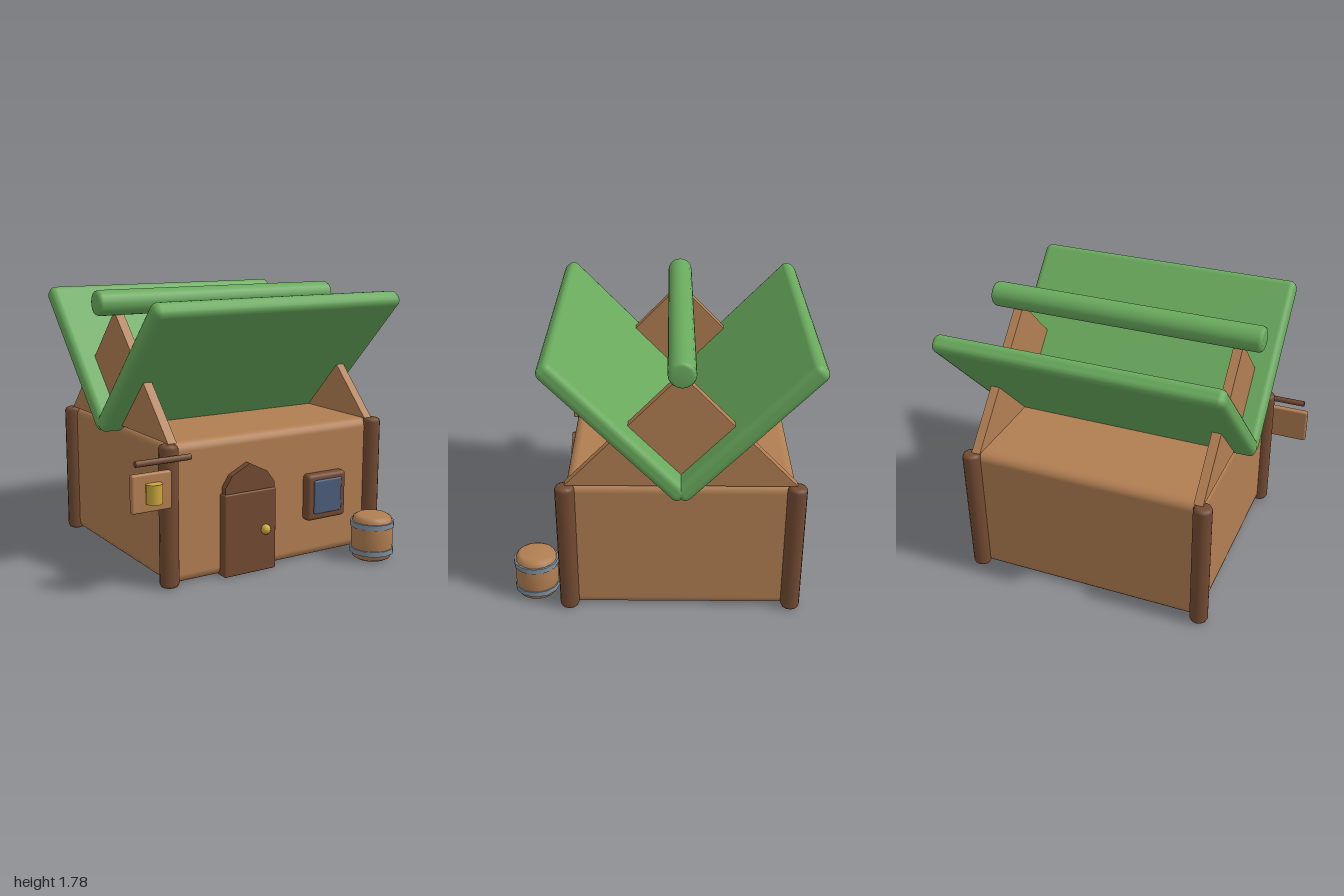
import * as THREE from 'three';
import { RoundedBoxGeometry } from 'three/addons/geometries/RoundedBoxGeometry.js';

const mat = (name, color) => {
  const m = new THREE.MeshStandardMaterial({ color });
  m.name = name;
  return m;
};

export function createModel() {
  const root = new THREE.Group();
  root.name = 'cottage';
  const wood = mat('light wood', 0xb17e52);
  const darkWood = mat('dark wood', 0x724a32);
  const green = mat('roof green', 0x69aa5d);
  const glassBlue = mat('glass blue', 0x4c5c7a);
  const gold = mat('gold', 0xcaa83c);
  const steel = mat('steel', 0x8090a0);

  const CX = 0.077, CZ = -0.13; // centre of the house
  const HX = 0.785, HZ = 0.71;  // half size of the walls
  const WALL = 0.9;

  const add = (name, geo, material, x = 0, y = 0, z = 0, parent = root) => {
    const m = new THREE.Mesh(geo, material);
    m.name = name;
    m.position.set(x, y, z);
    parent.add(m);
    return m;
  };
  const rbox = (w, h, d, r) => new RoundedBoxGeometry(w, h, d, 2, r);

  // Round log with softened ends, centred on its length along y
  const log = (r, len, bevel, sides) => {
    const h = len / 2, b = bevel, k = 0.3 * bevel;
    const pts = [[0, -h], [r - b, -h], [r - k, -h + k], [r, -h + b],
      [r, h - b], [r - k, h - k], [r - b, h], [0, h]];
    return new THREE.LatheGeometry(pts.map(p => new THREE.Vector2(...p)), sides);
  };

  // Extruded flat outline, depth along +z
  const plate = (points, depth) => new THREE.ExtrudeGeometry(
    new THREE.Shape(points.map(p => new THREE.Vector2(...p))),
    { depth, bevelEnabled: false });

  // Walls and corner posts
  add('walls', rbox(2 * HX, WALL, 2 * HZ, 0.06), wood, CX, WALL / 2, CZ);
  const postGeo = log(0.061, WALL, 0.025, 12);
  for (const sx of [-1, 1]) for (const sz of [-1, 1]) {
    add('cornerPost', postGeo, darkWood, CX + sx * HX, WALL / 2, CZ + sz * HZ);
  }

  // Gables at both ends
  const gableGeo = plate([[-HZ, 0], [HZ, 0], [0, 0.74]], 0.06);
  gableGeo.translate(0, 0, -0.03).rotateY(Math.PI / 2);
  for (const s of [-1, 1]) {
    add('gable', gableGeo, wood, CX + s * (HX - 0.03), WALL, CZ);
  }

  // Roof panels leaning outward in a V, and the ridge log
  const panelGeo = rbox(1.84, 0.115, 1.18, 0.045);
  for (const s of [-1, 1]) {
    const panel = add('roofPanel', panelGeo, green, 0.08, 1.307, CZ + s * 0.394);
    panel.rotation.x = -s * 0.805;
  }
  const ridge = add('ridgeLog', log(0.083, 1.84, 0.025, 20), green, 0.08, 1.695, CZ);
  ridge.rotation.z = Math.PI / 2;

  // Door with faceted arch and knob
  const door = new THREE.Group();
  door.name = 'door';
  door.position.set(-0.15, 0, 0);
  root.add(door);
  add('doorLeaf', rbox(0.385, 0.54, 0.1, 0.01), darkWood, 0, 0.27, 0.59, door);
  add('doorArch', plate([[-0.18, 0.5], [0.19, 0.5], [0.187, 0.58], [0.13, 0.655],
    [0, 0.72], [-0.13, 0.655], [-0.18, 0.58]], 0.08), darkWood, 0, 0, 0.545, door);
  add('doorKnob', new THREE.SphereGeometry(0.034, 12, 8), gold, 0.11, 0.275, 0.645, door);

  // Window
  add('windowFrame', rbox(0.31, 0.312, 0.08, 0.025), darkWood, 0.452, 0.422, 0.603);
  add('windowGlass', rbox(0.225, 0.23, 0.06, 0.012), glassBlue, 0.454, 0.425, 0.623);

  // Barrel with two hoops
  const barrel = new THREE.Group();
  barrel.name = 'barrel';
  barrel.position.set(0.707, 0, 0.805);
  root.add(barrel);
  const staves = [[0, 0], [0.1, 0], [0.125, 0.015], [0.137, 0.05], [0.14, 0.15],
    [0.137, 0.25], [0.125, 0.285], [0.1, 0.3], [0, 0.3]];
  add('barrelBody', new THREE.LatheGeometry(
    staves.map(p => new THREE.Vector2(...p)), 18), wood, 0, 0, 0, barrel);
  for (const y of [0.062, 0.242]) {
    add('barrelHoop', new THREE.CylinderGeometry(0.147, 0.147, 0.035, 12),
      steel, 0, y, 0, barrel);
  }

  // Hanging sign with a mug
  const bar = add('signBar', log(0.02, 0.375, 0.004, 8), darkWood, -0.783, 0.826, 0.655);
  bar.rotation.z = Math.PI / 2;
  add('signBoard', rbox(0.265, 0.235, 0.042, 0.012), wood, -0.8675, 0.648, 0.656);
  add('signMug', new THREE.CylinderGeometry(0.053, 0.053, 0.12, 8), gold, -0.867, 0.648, 0.697);

  return root;
}
